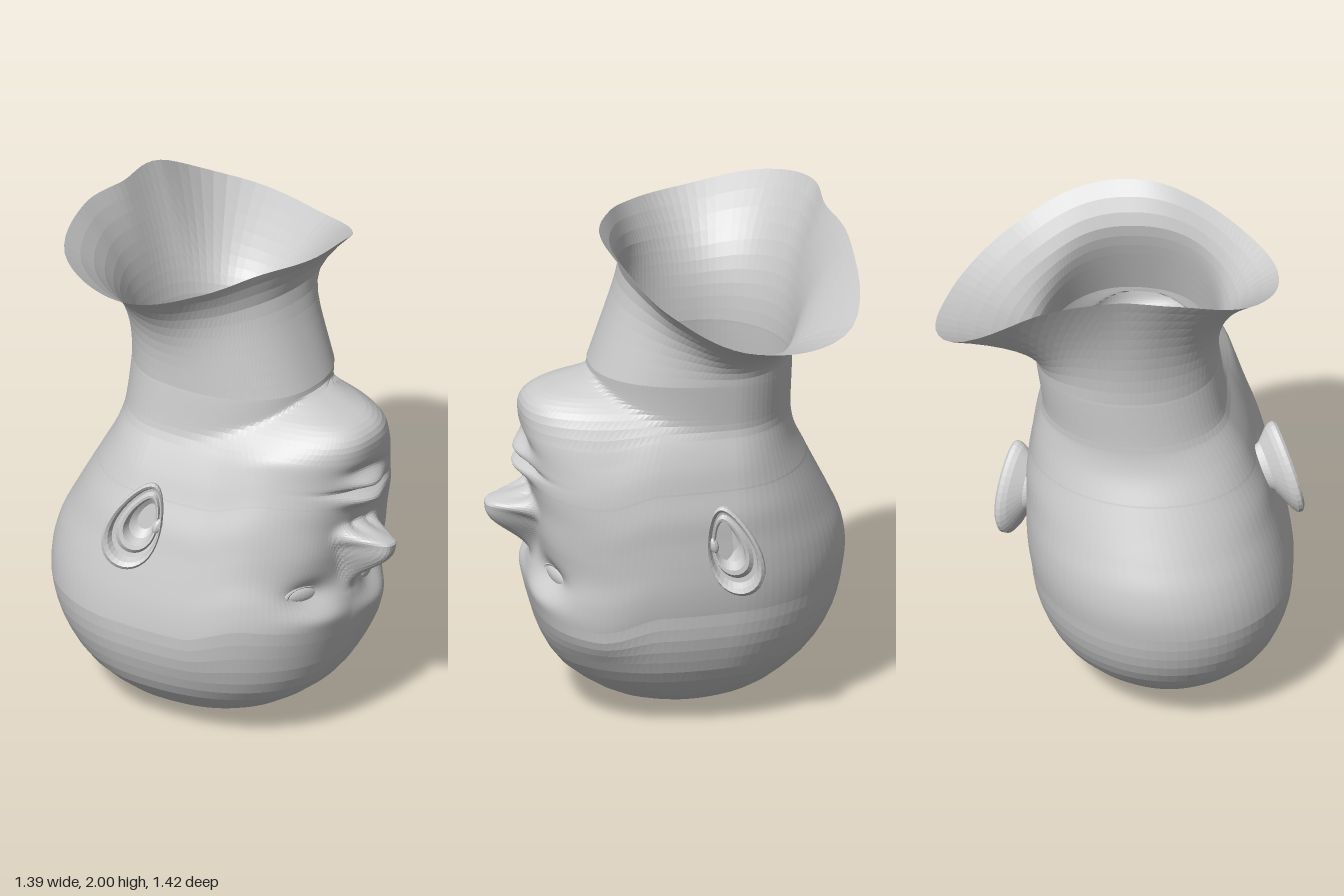
import * as THREE from 'three';

const material = new THREE.MeshStandardMaterial({ color: 0xcccccc, flatShading: true, side: THREE.DoubleSide });
const { lerp, clamp, smoothstep } = THREE.MathUtils;
const NECK_Y = 1.42;

// Head levels: height, half width, front z, back z
const levels = [
  [0, 0, -0.1, -0.1], [0.012, 0.12, 0.04, -0.22], [0.05, 0.22, 0.17, -0.35], [0.1, 0.31, 0.28, -0.45],
  [0.2, 0.41, 0.41, -0.57], [0.3, 0.46, 0.475, -0.645], [0.4, 0.49, 0.51, -0.685], [0.5, 0.5, 0.535, -0.705],
  [0.6, 0.5, 0.53, -0.71], [0.7, 0.49, 0.51, -0.69], [0.8, 0.475, 0.52, -0.645], [0.9, 0.46, 0.53, -0.595],
  [1.0, 0.43, 0.55, -0.545], [1.1, 0.4, 0.555, -0.495], [1.2, 0.355, 0.575, -0.46], [1.28, 0.3, 0.575, -0.42],
  [1.33, 0.24, 0.53, -0.4], [1.36, 0.2, 0.44, -0.4], [1.39, 0.16, 0.33, -0.38], [NECK_Y, 0.1, 0.2, -0.36],
];
const spline = (pts, closed = false) => new THREE.CatmullRomCurve3(
  pts.map((p) => new THREE.Vector3(...p)), closed, 'catmullrom', 0.5);
const widthCurve = spline(levels.map(([y, a]) => [y, a, 0]));
const depthCurve = spline(levels.map(([y, , f, b]) => [y, f, b]));

// Neck rim every 30 degrees from the front towards +x: radius, height
const rimCurve = spline([
  [0.45, 1.95, 0], [0.49, 1.91, 0], [0.57, 1.79, 0], [0.68, 1.68, 0], [0.745, 1.72, 0], [0.54, 1.94, 0],
  [0.43, 1.99, 0], [0.5, 2.0, 0], [0.61, 1.94, 0], [0.58, 1.88, 0], [0.47, 1.91, 0], [0.42, 1.95, 0],
], true);

const ovalRadius = (phi, a, front, back, frontPower = 2.25) => {
  const c = Math.cos(phi);
  const n = c > 0 ? frontPower : 2;
  const b = c > 0 ? front : back;
  return Math.pow(Math.pow(Math.abs(Math.sin(phi)) / a, n) + Math.pow(Math.abs(c) / b, n), -1 / n);
};
const neckRadius = (phi, front) => ovalRadius(phi, 0.345, front, 0.29);

const midX = (y) => -0.04 - 0.12 * (1.05 - y);
const bump = (u, v, u0, v0, su, sv, amount) =>
  amount * Math.exp(-(((u - u0) / su) ** 2) - (((v - v0) / sv) ** 2));

// Features of the face: u runs across it, v along it
function faceRelief(u, v) {
  const au = Math.abs(u);
  // Nose: narrow bridge, full rounded tip, sharp underside
  const rise = smoothstep(v, 0.62, 0.845);
  const drop = 1 - smoothstep(v, 0.87, 0.93);
  let d = 0.18 * rise * drop * Math.exp(-Math.pow(au / lerp(0.035, 0.07, rise * rise), lerp(2, 3.4, rise)));
  d += bump(au, v, 0.085, 0.875, 0.032, 0.032, 0.055); // nostril wings
  d += bump(au, v, 0.04, 0.905, 0.022, 0.014, -0.035); // nostrils
  d += bump(au, v, 0.19, 0.635, 0.1, 0.055, -0.05); // eye sockets
  d += bump(au, v, 0.16, 0.545, 0.13, 0.04, 0.012); // brows
  d += bump(au, v, 0.23, 0.82, 0.1, 0.1, 0.008); // cheeks
  d += bump(u, v, 0, 1.03, 0.11, 0.03, 0.052); // upper lip
  d += bump(u, v, 0, 1.095, 0.1, 0.03, 0.047); // lower lip
  d += bump(u, v, 0, 1.063, 0.14, 0.012, -0.035); // mouth line
  d += bump(u, v, 0, 1.145, 0.1, 0.025, -0.015); // fold above the chin
  return d;
}

function headPoint(phi, t) {
  const w = widthCurve.getPoint(t);
  const d = depthCurve.getPoint(t);
  const y = w.x;
  const cx = lerp(-0.15, -0.015, clamp((y - 0.5) / 0.92, 0, 1));
  const cz = lerp(-0.1, -0.18, clamp(y / 0.5, 0, 1));
  const fullness = 2.2 + 0.4 * smoothstep(y, 0.1, 0.5);
  let r = 0;
  if (t > 0) r = ovalRadius(phi, Math.max(w.y, 1e-3), Math.max(d.y - cz, 1e-3), Math.max(cz - d.z, 1e-3), fullness);
  // Jaw and neck meet in a soft crease
  if (y > 1) {
    const n = neckRadius(phi, 0.49);
    r = 0.5 * (r + n + Math.hypot(r - n, 0.015));
  }
  const lz = r * Math.cos(phi);
  const x = cx + r * Math.sin(phi) + 0.08 * lz * (1 - smoothstep(y, 1, NECK_Y));
  const z = cz + lz;
  // The face leans to one side, so its rows slope
  const facing = smoothstep(z, 0.1, 0.35);
  const u = x - midX(y);
  const lean = facing * smoothstep(y, 0.25, 0.5) * (1 - smoothstep(y, 1.15, 1.3));
  return [x, y - 0.16 * u * lean, z + faceRelief(u, y) * facing];
}

// The neck flares early at the back and on +x, late at the front
function neckPoint(phi, t) {
  const rim = rimCurve.getPoint((phi / (2 * Math.PI) + 1) % 1);
  const c = Math.cos(phi), s = Math.sin(phi);
  const wall = neckRadius(phi, lerp(0.49, 0.35, Math.min(1, t * 1.4)));
  const power = lerp(s > 0 ? 2.2 : 3, c > 0 ? 5 : 1.8, c * c);
  const r = lerp(wall, rim.x, Math.pow(t, power));
  return [-0.015 + r * s, lerp(NECK_Y, rim.y, t), -0.18 + r * c];
}

// Joins rows of points into a skin, closed around each row
function skin(rows) {
  const n = rows[0].length;
  const index = [];
  for (let i = 0; i < rows.length - 1; i++) {
    for (let j = 0; j < n; j++) {
      const a = i * n + j, b = i * n + (j + 1) % n;
      index.push(a, b, b + n, a, b + n, a + n);
    }
  }
  const geometry = new THREE.BufferGeometry();
  geometry.setAttribute('position', new THREE.Float32BufferAttribute(rows.flat(2), 3));
  geometry.setIndex(index);
  geometry.computeVertexNormals();
  return geometry;
}

function part(name, geometry) {
  const mesh = new THREE.Mesh(geometry, material);
  mesh.name = name;
  return mesh;
}

// Ear: one outline stepped through root, helix, groove, inner fold and hollow
function earGeometry() {
  const steps = [[0.4, -0.07], [0.55, -0.03], [0.9, 0.008], [1, 0.025], [1.01, 0.042], [0.95, 0.053], [0.87, 0.045],
    [0.8, 0.022], [0.72, 0.02], [0.64, 0.036], [0.56, 0.034], [0.46, 0.0], [0.3, -0.015], [0.001, -0.015]];
  return skin(steps.map(([s, depth]) => Array.from({ length: 36 }, (_, j) => {
    const w = (j / 36) * Math.PI * 2;
    // Inner rings drift towards the lobe and the front
    const drift = 1 - Math.min(1, s);
    return [depth, 0.185 * s * Math.sin(w) + 0.05 * drift,
      0.1 * s * Math.cos(w) * (1 - 0.3 * Math.sin(w)) + 0.035 * drift];
  })));
}

export function createModel() {
  const group = new THREE.Group();

  // Columns crowd towards the face
  const columns = Array.from({ length: 136 }, (_, j) => {
    const s = (j / 136) * Math.PI * 2 - Math.PI;
    return s - 0.7 * Math.sin(s);
  });
  const segments = levels.length - 1;
  const rows = [];
  for (let k = 0; k < segments; k++) {
    const sub = k < 7 ? 2 : k < 14 ? 13 : 3;
    for (let i = 0; i < sub; i++) rows.push(columns.map((p) => headPoint(p, (k + i / sub) / segments)));
  }
  for (let i = 0; i <= 10; i++) rows.push(columns.map((p) => neckPoint(p, i / 10)));
  const head = part('headAndNeck', skin(rows));
  group.add(head);

  // Eyes sit on the face surface
  const ray = new THREE.Raycaster();
  head.updateMatrixWorld();
  for (const [name, x, y, yaw] of [['leftEye', 0.09, 0.605, 0.35], ['rightEye', -0.29, 0.665, -0.25]]) {
    ray.set(new THREE.Vector3(x, y, 2), new THREE.Vector3(0, 0, -1));
    const hit = ray.intersectObject(head)[0];
    const eye = new THREE.Group();
    eye.name = name;
    const ball = part('eyeball', new THREE.SphereGeometry(1, 20, 12));
    ball.scale.set(0.075, 0.032, 0.02);
    const lids = part('eyelids', new THREE.TorusGeometry(0.078, 0.014, 8, 28));
    lids.scale.set(1, 0.46, 0.9);
    eye.add(ball, lids);
    eye.position.set(x, y, hit.point.z - 0.004);
    eye.rotation.set(0, yaw, -0.15);
    group.add(eye);
  }

  // Ears mirror each other, then follow the lean of the head
  const earShape = earGeometry();
  const flapShape = new THREE.SphereGeometry(1, 10, 8);
  for (const [name, side, x, y, z] of [['leftEar', 1, 0.39, 0.785, -0.172], ['rightEar', -1, -0.58, 0.925, -0.12]]) {
    const ear = new THREE.Group();
    ear.name = name;
    const flap = part('earFlap', flapShape);
    flap.scale.set(0.018, 0.032, 0.018);
    flap.position.set(0.025, 0.03, 0.075);
    ear.add(part('earShell', earShape), flap);
    ear.rotation.set(0.35, -0.4, 0.22);
    const pivot = new THREE.Group();
    pivot.name = name + 'Mount';
    pivot.scale.x = side;
    pivot.rotation.z = -0.14;
    pivot.position.set(x, y, z);
    pivot.add(ear);
    group.add(pivot);
  }
  return group;
}
